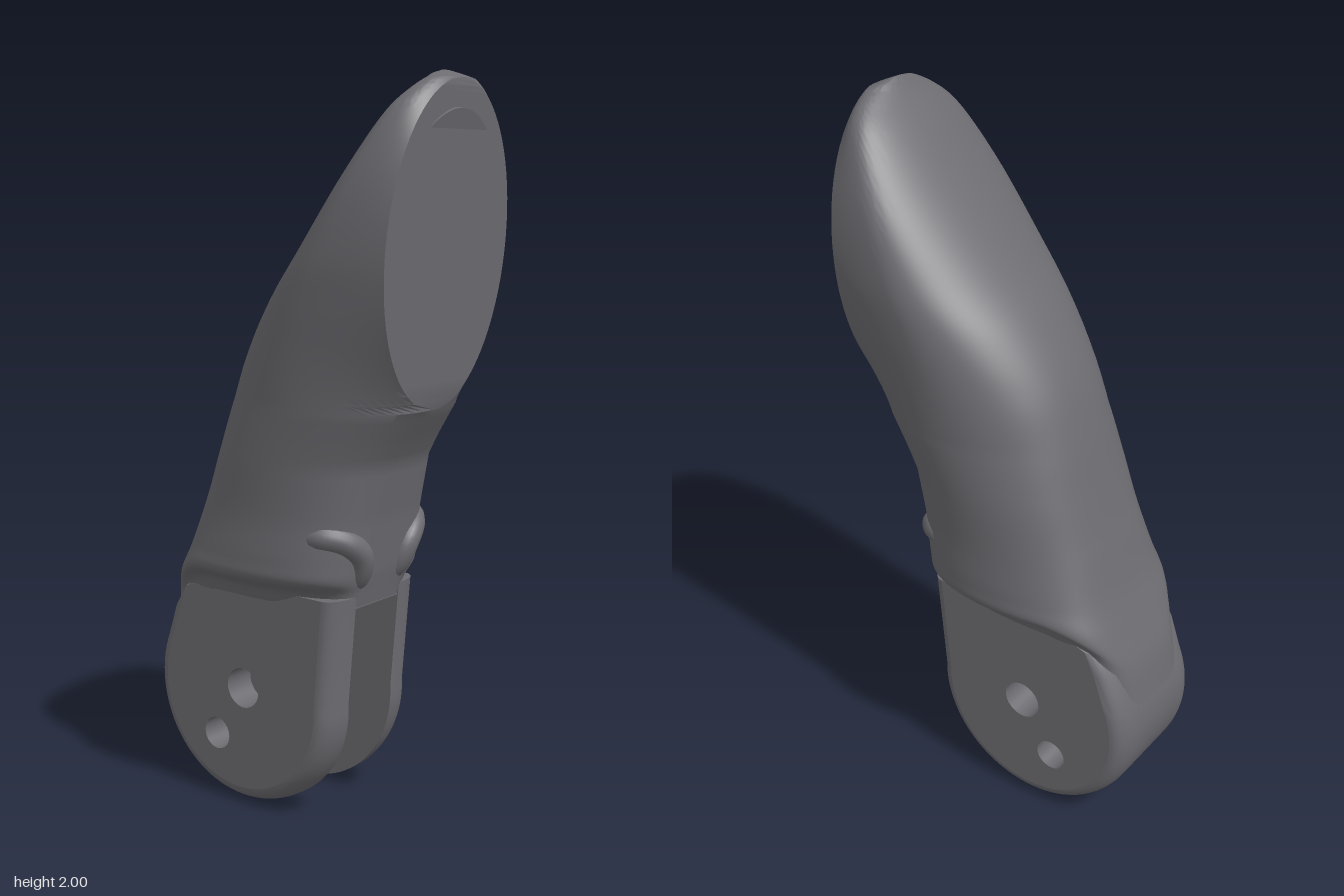
import * as THREE from 'three';
import { toCreasedNormals } from 'three/addons/utils/BufferGeometryUtils.js';

const material = new THREE.MeshStandardMaterial({ color: 0x6c6b70, side: THREE.DoubleSide });
const { clamp, lerp } = THREE.MathUtils;

// Skin over equal-length closed rings, with optional flat end caps.
function loft(rings, caps = false) {
  const n = rings[0].length, pos = [], index = [];
  rings.forEach(r => r.forEach(p => pos.push(p.x, p.y, p.z)));
  for (let j = 0; j < rings.length - 1; j++)
    for (let i = 0; i < n; i++) {
      const a = j * n + i, b = j * n + (i + 1) % n;
      index.push(a, b, a + n, b, b + n, a + n);
    }
  if (caps) {
    const top = (rings.length - 1) * n;
    for (let i = 0; i < n / 2 - 1; i++) {
      const k = n - 1 - i;
      index.push(i, k, i + 1, k, k - 1, i + 1);
      index.push(top + i, top + i + 1, top + k, top + k, top + i + 1, top + k - 1);
    }
  }
  const g = new THREE.BufferGeometry();
  g.setAttribute('position', new THREE.Float32BufferAttribute(pos, 3));
  g.setIndex(index);
  return toCreasedNormals(g, 0.6);
}

function add(parent, name, geometry) {
  const m = new THREE.Mesh(geometry, material);
  m.name = name;
  parent.add(m);
  return m;
}

// Front edge of the body as seen from the side.
const front = [[0.61, 0.205], [0.7, 0.225], [0.85, 0.25], [1.0, 0.285], [1.06, 0.32],
  [1.15, 0.38], [1.98, 0.455], [2.0, 0.405]];
function frontX(y) {
  const i = Math.max(1, front.findIndex(k => k[0] >= y - 1e-6));
  const [y0, x0] = front[i - 1], [y1, x1] = front[i];
  return lerp(x0, x1, clamp((y - y0) / (y1 - y0), 0, 1));
}

// Bent fingertip body: back edge x, height, half width.
function bodyGeometry() {
  const keys = [[-0.452, 0.61, 0.195], [-0.43, 0.65, 0.215], [-0.385, 0.69, 0.274], [-0.345, 0.74, 0.277],
    [-0.298, 0.85, 0.271], [-0.25, 1.0, 0.274], [-0.205, 1.15, 0.277], [-0.15, 1.29, 0.282],
    [-0.06, 1.43, 0.288], [0.05, 1.56, 0.288], [0.2, 1.75, 0.258], [0.315, 1.9, 0.195],
    [0.36, 1.95, 0.145], [0.389, 1.985, 0.08], [0.4, 2.0, 0.015]];
  const curve = new THREE.CatmullRomCurve3(keys.map(k => new THREE.Vector3(...k)));
  const steps = (keys.length - 1) * 6, rings = [];
  for (let s = 0; s <= steps; s++) {
    const { x: xb, y, z: w } = curve.getPoint(s / steps);
    const xf = frontX(y), xc = (xb + xf) / 2;
    const q = (y - 1.565) / 0.415;
    const pad = Math.min(0.265 * Math.sqrt(Math.max(0, 1 - q * q)), 0.97 * w);
    const e = lerp(0.42, 0.9, clamp((y - 0.6) / 0.7, 0, 1));
    const t0 = Math.asin(Math.pow(pad / w, 1 / e));
    const half = [];
    for (let i = 0; i <= 32; i++) {
      const t = lerp(t0, Math.PI, i / 32), c = Math.cos(t);
      const x = c > 0 ? xc + (xf - xc) * c / Math.cos(t0) : xc + (xc - xb) * c;
      // the back of the lower edge sweeps down around the fork
      const dip = 3.2 * Math.max(0, -0.2 - x) ** 2 * clamp((0.85 - y) / 0.24, 0, 1);
      half.push(new THREE.Vector3(x, y - dip, -w * Math.pow(Math.max(0, Math.sin(t)), e)));
    }
    const mirrored = half.map(p => new THREE.Vector3(p.x, p.y, -p.z)).reverse();
    rings.push([...half, ...mirrored]);
  }
  return loft(rings, true);
}

// Fork cheek outline, counter-clockwise, shrunk by an inset.
function cheekOutline(inset) {
  const pts = [], r = 0.32 - inset;
  for (let i = 0; i <= 48; i++) {
    const a = lerp(0.06, -Math.PI * 1.13, i / 48);
    pts.push(new THREE.Vector2(-0.14 + r * Math.cos(a), 0.32 + r * Math.sin(a)));
  }
  pts.push(new THREE.Vector2(-0.405 + inset, 0.53), new THREE.Vector2(-0.35 + inset / 2, 0.6),
    new THREE.Vector2(-0.22, 0.64), new THREE.Vector2(0.205 - inset, 0.64));
  return pts.reverse();
}

const holes = [[-0.12, 0.34, 0.057], [-0.22, 0.185, 0.046]];
const INNER = 0.095, OUTER = 0.19, ROUND_DEPTH = 0.075, ROUND_INSET = 0.045;

function cheek() {
  const group = new THREE.Group();
  // Rim with a rounded outer edge
  const layers = [[INNER, 0]];
  for (let i = 0; i <= 8; i++) {
    const a = i / 8 * Math.PI / 2;
    layers.push([OUTER - ROUND_DEPTH * (1 - Math.sin(a)), ROUND_INSET * (1 - Math.cos(a))]);
  }
  add(group, 'cheekRim', loft(layers.map(([z, inset]) =>
    cheekOutline(inset).map(p => new THREE.Vector3(p.x, p.y, z)))));
  // Flat faces pierced by the pin holes
  for (const [name, z, inset] of [['cheekInnerFace', INNER, 0], ['cheekOuterFace', OUTER, ROUND_INSET]]) {
    const shape = new THREE.Shape(cheekOutline(inset));
    holes.forEach(([x, y, r]) => shape.holes.push(new THREE.Path().absarc(x, y, r, 0, Math.PI * 2, true)));
    const g = new THREE.ShapeGeometry(shape, 16);
    if (z === INNER) {
      g.index.array.reverse();
      g.computeVertexNormals();
    }
    add(group, name, g.translate(0, 0, z));
  }
  // Pin hole walls
  holes.forEach(([x, y, r]) => {
    const g = new THREE.CylinderGeometry(r, r, OUTER - INNER, 32, 1, true).rotateX(Math.PI / 2);
    add(group, 'pinHole', g).position.set(x, y, (OUTER + INNER) / 2);
  });
  return group;
}

export function createModel() {
  const model = new THREE.Group();
  model.name = 'fingertip';
  add(model, 'body', bodyGeometry());

  // Fork cheeks, mirrored
  for (const side of [1, -1]) {
    const c = cheek();
    c.name = side > 0 ? 'leftCheek' : 'rightCheek';
    c.scale.z = side;
    model.add(c);
  }

  // Wall closing the fork slot at the back, curved around the pivot
  const wall = new THREE.Shape();
  wall.moveTo(0.2, 0.605);
  wall.lineTo(0.2, 0.63);
  wall.lineTo(-0.22, 0.64);
  wall.lineTo(-0.35, 0.6);
  wall.lineTo(-0.405, 0.53);
  wall.absarc(-0.14, 0.32, 0.32, Math.PI * 0.87, Math.PI * 1.27, false);
  wall.lineTo(-0.243, 0.1);
  wall.absarc(-0.12, 0.34, 0.27, Math.PI * 1.35, Math.PI * 0.5, true);
  const wallGeo = new THREE.ExtrudeGeometry(wall, { depth: 2 * INNER, bevelEnabled: false, curveSegments: 32 });
  add(model, 'slotBackWall', toCreasedNormals(wallGeo.translate(0, 0, -INNER), 0.6));

  // Soft folds above the fork, mostly sunk into the body
  for (const side of [1, -1]) {
    const path = new THREE.CatmullRomCurve3([[0.06, 0.79, 0.19], [0.16, 0.815, 0.195], [0.208, 0.8, 0.15],
      [0.222, 0.76, 0.105], [0.2, 0.7, 0.085], [0.14, 0.65, 0.08]]
      .map(([x, y, z]) => new THREE.Vector3(x, y, z * side)));
    add(model, side > 0 ? 'leftFold' : 'rightFold', new THREE.TubeGeometry(path, 32, 0.036, 16));
  }

  // Thin crescent lip near the tip of the pad, rising from the pad towards its top
  const lip = new THREE.Shape();
  lip.moveTo(-0.125, 0);
  lip.lineTo(0.125, 0);
  lip.quadraticCurveTo(0, 0.105, -0.125, 0);
  const lipGeo = new THREE.ExtrudeGeometry(lip, { depth: 0.014, bevelEnabled: false }).rotateX(0.24);
  const lipMesh = add(model, 'padLip', lipGeo);
  lipMesh.rotation.y = Math.PI / 2;
  lipMesh.position.set(0.431, 1.86, 0);
  return model;
}
